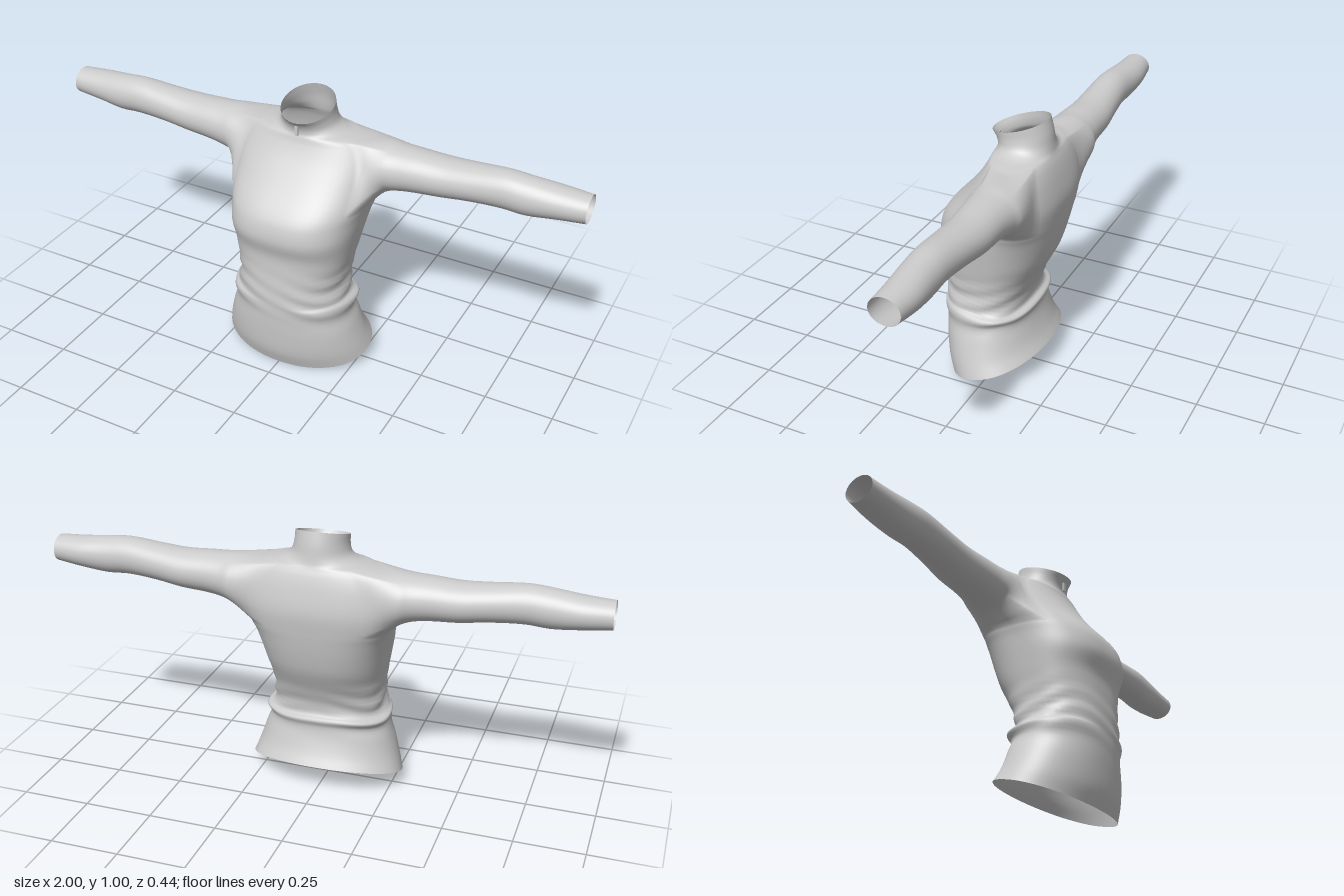
import * as THREE from 'three';

const N = 64;   // columns around the body
const S = 4;    // rows between two key sections

// Body sections: side height, half width, front z, back z, z of widest point, tilt, squareness
const BODY = [
  [0.05, 0.285, 0.175, -0.175, 0.0, 0.055, 0.95],
  [0.10, 0.268, 0.195, -0.152, 0.02, 0.045, 0.95],
  [0.17, 0.245, 0.204, -0.13, 0.03, 0.03, 0.9],
  [0.23, 0.226, 0.208, -0.122, 0.03, 0.012, 0.9],
  [0.268, 0.232, 0.21, -0.132, 0.03, 0, 0.85],
  [0.285, 0.212, 0.21, -0.108, 0.03, 0, 0.85],
  [0.34, 0.203, 0.208, -0.115, 0.03, 0, 0.85],
  [0.41, 0.208, 0.203, -0.142, 0.03, 0, 0.82],
  [0.48, 0.22, 0.203, -0.175, 0.02, 0, 0.78],
  [0.55, 0.232, 0.222, -0.195, 0.0, 0, 0.75],
  [0.61, 0.243, 0.213, -0.207, -0.04, 0, 0.75],
  [0.65, 0.255, 0.19, -0.213, -0.07, 0, 0.75],
  [0.72, 0.265, 0.128, -0.219, -0.09, 0, 0.78],
  [0.80, 0.26, 0.065, -0.205, -0.095, 0, 0.82],
  [0.85, 0.235, 0.036, -0.19, -0.095, 0, 0.88],
  [0.872, 0.205, 0.028, -0.18, -0.09, 0, 0.92],
  [0.885, 0.14, 0.024, -0.175, -0.08, 0, 1],
  [0.905, 0.107, 0.026, -0.17, -0.07, 0.004, 1],
  [0.935, 0.096, 0.035, -0.164, -0.06, 0.015, 1],
  [0.967, 0.094, 0.05, -0.152, -0.055, 0.03, 1],
];

// Sleeve sections: x, top y, bottom y, front z, back z
const SLEEVE = [
  [0.30, 0.872, 0.688, 0.005, -0.2],
  [0.34, 0.868, 0.704, -0.003, -0.19],
  [0.40, 0.866, 0.714, -0.01, -0.183],
  [0.50, 0.862, 0.722, -0.018, -0.18],
  [0.60, 0.868, 0.735, -0.022, -0.17],
  [0.72, 0.878, 0.742, -0.025, -0.16],
  [0.80, 0.873, 0.738, -0.027, -0.16],
  [0.90, 0.864, 0.75, -0.035, -0.163],
  [1.00, 0.858, 0.762, -0.042, -0.152],
];

// Armhole: key rows and columns left open in the body
const HOLE = { row0: 11 * S, row1: 15 * S, back: -9, front: 6 };

const power = (v, e) => Math.sign(v) * Math.pow(Math.abs(v) < 1e-9 ? 0 : Math.abs(v), e);

function bodyPoint([y, w, zf, zb, zm, tilt, e], a) {
  const s = Math.sin(a), z = power(s, e);
  return new THREE.Vector3(w * power(Math.cos(a), e), y - tilt * s,
    zm + z * (s > 0 ? zf - zm : zm - zb));
}

// Gathered cloth around the waist
function wrinkle(p, a) {
  const band = Math.exp(-(((p.y - 0.32) / 0.08) ** 2));
  const sides = 0.25 + 0.75 * Math.abs(Math.cos(a)) ** 0.7;
  const d = 0.006 * band * sides * Math.sin(p.y * 95 + 3 * Math.sin(2 * a + 0.6) + 1.5 * Math.cos(a));
  p.x += d * Math.cos(a);
  p.z += d * 0.7 * Math.sin(a);
  p.y += 0.007 * band * Math.sin(3 * a + 0.5);
  return p;
}

function garmentGeometry() {
  const pos = [], index = [];
  const rows = (BODY.length - 1) * S;
  const id = (j, k) => j * N + ((k % N) + N) % N;
  const quad = (a, b, c, d, flip) =>
    flip ? index.push(a, b, c, a, c, d) : index.push(a, d, c, a, c, b);

  // Body and collar: one smooth curve per column
  const columns = Array.from({ length: N }, (_, k) => {
    const a = (k / N) * Math.PI * 2;
    return { a, curve: new THREE.CatmullRomCurve3(BODY.map((r) => bodyPoint(r, a))) };
  });
  for (let j = 0; j <= rows; j++)
    for (const { a, curve } of columns) pos.push(...wrinkle(curve.getPoint(j / rows), a).toArray());

  const inHole = (j, k) => {
    if (j < HOLE.row0 || j >= HOLE.row1) return false;
    const within = (c) => c > HOLE.back && c < HOLE.front;
    const mid = k + 0.5;
    return within(mid) || within(mid - N) || within(N / 2 - mid);
  };
  for (let j = 0; j < rows; j++)
    for (let k = 0; k < N; k++)
      if (!inHole(j, k)) quad(id(j, k), id(j, k + 1), id(j + 1, k + 1), id(j + 1, k));

  // Sleeves grow out of the armhole edges
  for (const side of [1, -1]) {
    const edge = [];
    const add = (j, k) => edge.push(id(j, side > 0 ? k : N / 2 - k));
    for (let k = HOLE.back; k < HOLE.front; k++) add(HOLE.row0, k);
    for (let j = HOLE.row0; j < HOLE.row1; j++) add(j, HOLE.front);
    for (let k = HOLE.front; k > HOLE.back; k--) add(HOLE.row1, k);
    for (let j = HOLE.row1; j > HOLE.row0; j--) add(j, HOLE.back);

    const curves = edge.map((i) => {
      const p = new THREE.Vector3().fromArray(pos, i * 3);
      const a = Math.atan2(p.y - 0.77, p.z + 0.08);
      const rings = SLEEVE.map(([x, yt, yb, zf, zb]) => new THREE.Vector3(side * x,
        (yt + yb) / 2 + Math.sin(a) * (yt - yb) / 2,
        (zf + zb) / 2 + Math.cos(a) * (zf - zb) / 2));
      return new THREE.CatmullRomCurve3([p, ...rings]);
    });
    const steps = SLEEVE.length * S;
    let last = edge;
    for (let t = 1; t <= steps; t++) {
      const ring = curves.map((c) => {
        pos.push(...c.getPoint(t / steps).toArray());
        return pos.length / 3 - 1;
      });
      ring.forEach((v, i) => {
        const n = (i + 1) % ring.length;
        quad(last[i], last[n], ring[n], v, side < 0);
      });
      last = ring;
    }
  }

  const g = new THREE.BufferGeometry();
  g.setAttribute('position', new THREE.Float32BufferAttribute(pos, 3));
  g.setIndex(index);
  g.computeVertexNormals();
  return g;
}

export function createModel() {
  const group = new THREE.Group();
  group.name = 'longSleeveTop';
  const cloth = new THREE.MeshStandardMaterial({ color: 0xcccccc, side: THREE.DoubleSide });

  const garment = new THREE.Mesh(garmentGeometry(), cloth);
  garment.name = 'bodySleevesAndCollar';
  group.add(garment);

  // Small zip pull below the collar
  const pull = new THREE.Mesh(new THREE.BoxGeometry(0.012, 0.035, 0.006), cloth);
  pull.name = 'zipPull';
  pull.position.set(0, 0.9, 0.033);
  group.add(pull);
  return group;
}
